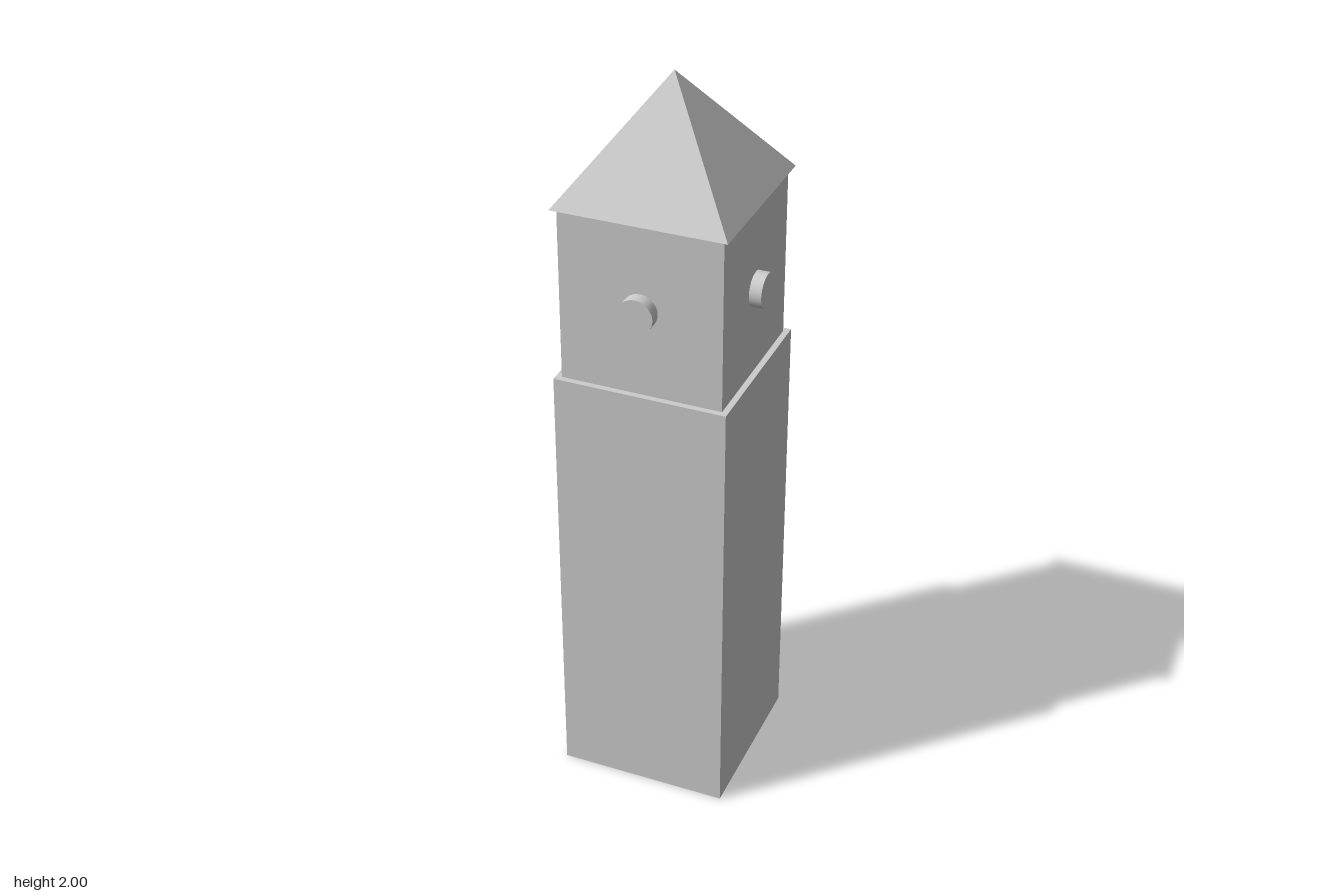
import * as THREE from 'three';

export function createModel() {
  const group = new THREE.Group();
  const material = new THREE.MeshStandardMaterial({ color: 0xcccccc });
  const flat = new THREE.MeshStandardMaterial({ color: 0xcccccc, flatShading: true });

  const add = (name, geometry, mat = material) => {
    const mesh = new THREE.Mesh(geometry, mat);
    mesh.name = name;
    group.add(mesh);
    return mesh;
  };

  // Square block standing between two heights
  const block = (name, width, y0, y1) => {
    add(name, new THREE.BoxGeometry(width, y1 - y0, width)).position.y = (y0 + y1) / 2;
  };

  // Tall shaft and the slightly narrower clock storey
  block('towerShaft', 0.46, 0, 1.232);
  block('clockStorey', 0.428, 1.232, 1.696);

  // Four-sided pyramid roof with a small overhang
  const roofHeight = 2 - 1.696;
  const roof = new THREE.ConeGeometry(0.228 * Math.SQRT2, roofHeight, 4);
  roof.rotateY(Math.PI / 4);
  add('roof', roof, flat).position.y = 1.696 + roofHeight / 2;

  // One round clock face on each side
  const names = ['clockFront', 'clockLeft', 'clockBack', 'clockRight'];
  names.forEach((name, i) => {
    const disc = new THREE.CylinderGeometry(0.046, 0.046, 0.046, 32);
    disc.rotateX(Math.PI / 2);
    disc.translate(0, 1.465, 0.223);
    disc.rotateY((i * Math.PI) / 2);
    add(name, disc);
  });

  return group;
}
